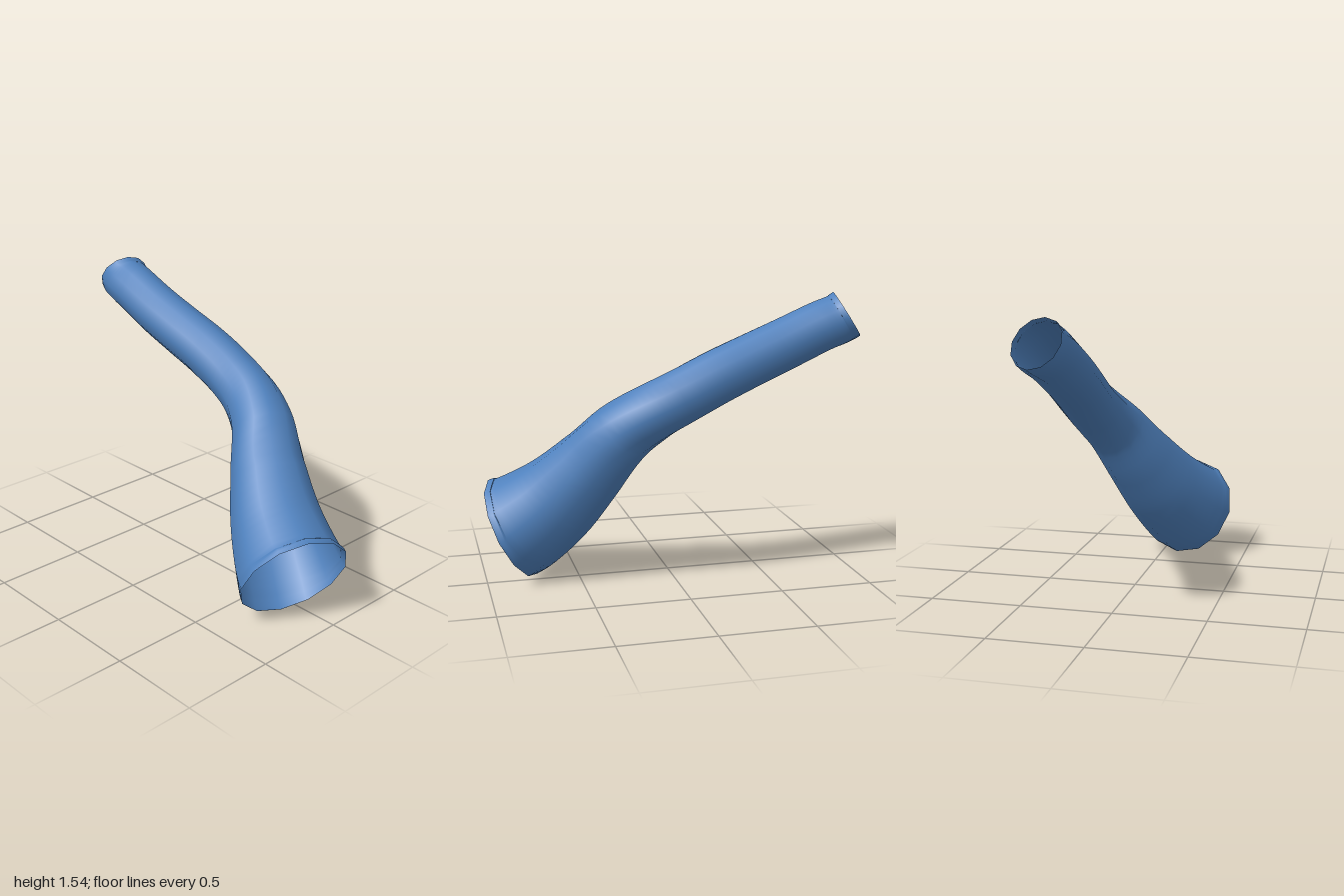
import * as THREE from 'three';

// Centre line from the wide mouth to the narrow end: x, y, z, radius
const STATIONS = [
  [-0.135, 0.27, 0.84, 0.294],
  [-0.116, 0.297, 0.79, 0.284],
  [-0.03, 0.437, 0.62, 0.249],
  [0.078, 0.635, 0.45, 0.208],
  [0.185, 0.835, 0.295, 0.173],
  [0.24, 0.945, 0.15, 0.156],
  [0.257, 1.025, 0.0, 0.149],
  [0.251, 1.123, -0.2, 0.146],
  [0.234, 1.207, -0.4, 0.143],
  [0.222, 1.289, -0.6, 0.141],
  [0.222, 1.367, -0.78, 0.139],
  [0.228, 1.407, -0.885, 0.138],
  [0.24, 1.434, -0.925, 0.138],
];
const SIDES = 12;
const RINGS = 60;

// Open tapered tube: a ring of points swept along the centre line, kept upright
function sweptTube() {
  const path = new THREE.CatmullRomCurve3(STATIONS.map(([x, y, z]) => new THREE.Vector3(x, y, z)));
  const radii = new THREE.SplineCurve(STATIONS.map((s, i) => new THREE.Vector2(i, s[3])));
  const up = new THREE.Vector3(0, 1, 0);
  const positions = [];
  const index = [];

  for (let i = 0; i <= RINGS; i++) {
    const t = i / RINGS;
    const centre = path.getPoint(t);
    const tangent = path.getTangent(t);
    const side = new THREE.Vector3().crossVectors(tangent, up).normalize();
    const top = new THREE.Vector3().crossVectors(side, tangent);
    const r = radii.getPoint(t).y;
    for (let j = 0; j < SIDES; j++) {
      const a = (j / SIDES) * Math.PI * 2;
      const p = centre.clone()
        .addScaledVector(side, r * Math.cos(a))
        .addScaledVector(top, r * Math.sin(a));
      positions.push(p.x, p.y, p.z);
      if (i < RINGS) {
        const k = (j + 1) % SIDES;
        const a0 = i * SIDES + j, b0 = i * SIDES + k;
        index.push(a0, a0 + SIDES, b0, b0, a0 + SIDES, b0 + SIDES);
      }
    }
  }

  const geometry = new THREE.BufferGeometry();
  geometry.setAttribute('position', new THREE.Float32BufferAttribute(positions, 3));
  geometry.setIndex(index);
  geometry.computeVertexNormals();
  return geometry;
}

export function createModel() {
  const blue = new THREE.MeshStandardMaterial({ color: 0x4f81bd, side: THREE.DoubleSide });
  blue.name = 'blue';

  const tube = new THREE.Mesh(sweptTube(), blue);
  tube.name = 'taperedTube';

  const model = new THREE.Group();
  model.name = 'curvedHorn';
  model.add(tube);
  return model;
}
